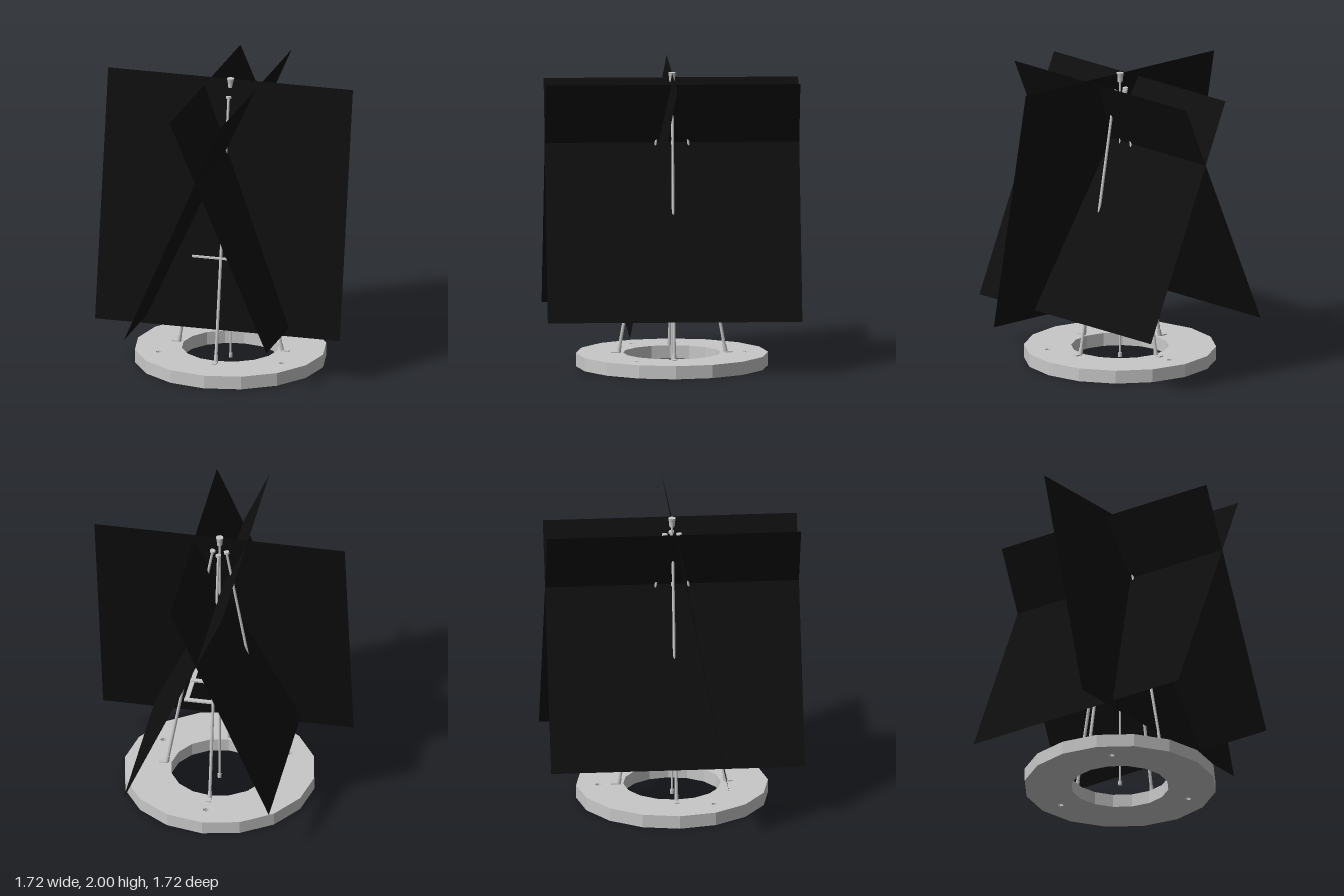
import * as THREE from 'three';

export function createModel() {
  const model = new THREE.Group();
  const metal = new THREE.MeshStandardMaterial({ color: 0xc8c8c8 });
  metal.name = 'pale grey metal';
  const black = new THREE.MeshStandardMaterial({ color: 0x0e0e0e, side: THREE.DoubleSide });
  black.name = 'black sheet';

  const add = (name, geometry, material, parent = model) => {
    const mesh = new THREE.Mesh(geometry, material);
    mesh.name = name;
    parent.add(mesh);
    return mesh;
  };
  const box = (name, w, h, d, x, y, z, parent) =>
    add(name, new THREE.BoxGeometry(w, h, d), metal, parent).position.set(x, y, z);
  const rod = (name, a, b, r0, r1, sides, parent) => {
    const dir = b.clone().sub(a);
    const mesh = add(name, new THREE.CylinderGeometry(r1, r0, dir.length(), sides), metal, parent);
    mesh.position.copy(a).add(b).multiplyScalar(0.5);
    mesh.quaternion.setFromUnitVectors(new THREE.Vector3(0, 1, 0), dir.normalize());
  };
  const v = (x, y, z) => new THREE.Vector3(x, y, z);

  // Sixteen-sided base ring with three bolt holes
  const polygon = (target, radius, sides, cx = 0, cy = 0) => {
    const points = [];
    for (let i = 0; i < sides; i++) {
      const a = (i / sides) * Math.PI * 2;
      points.push(new THREE.Vector2(cx + radius * Math.cos(a), cy + radius * Math.sin(a)));
    }
    return target.setFromPoints(points);
  };
  const ring = polygon(new THREE.Shape(), 0.65, 16);
  ring.holes.push(polygon(new THREE.Path(), 0.33, 16));
  for (const deg of [-30, -150, 90]) {
    const a = THREE.MathUtils.degToRad(deg);
    ring.holes.push(polygon(new THREE.Path(), 0.02, 8, 0.5 * Math.cos(a), 0.5 * Math.sin(a)));
  }
  const ringGeometry = new THREE.ExtrudeGeometry(ring, { depth: 0.09, bevelEnabled: false });
  ringGeometry.rotateX(-Math.PI / 2);
  add('baseRing', ringGeometry, metal);

  // Four leaning legs with sockets, flat feet and top collars
  for (let i = 0; i < 4; i++) {
    const leg = new THREE.Group();
    leg.name = 'leg';
    leg.rotation.y = (i * Math.PI) / 2;
    model.add(leg);
    rod('legTube', v(0.36, 0.1, 0), v(0.047, 1.88, 0), 0.011, 0.009, 8, leg);
    rod('legSocket', v(0.362, 0.09, 0), v(0.353, 0.14, 0), 0.015, 0.013, 8, leg);
    rod('legCollar', v(0.049, 1.87, 0), v(0.047, 1.885, 0), 0.019, 0.019, 8, leg);
    box('foot', 0.055, 0.008, 0.03, 0.385, 0.094, 0, leg);
  }

  // Centre rod and finial
  rod('centreRod', v(0, 0.01, 0), v(0, 1.96, 0), 0.008, 0.008, 8);
  rod('rodTip', v(0, 0.01, 0), v(0, 0.04, 0), 0.013, 0.013, 8);
  rod('finialNeck', v(0, 1.935, 0), v(0, 1.965, 0), 0.018, 0.02, 8);
  rod('finialCap', v(0, 1.965, 0), v(0, 1.998, 0), 0.02, 0.026, 8);

  // Open platform frame with a cross inside
  const platform = new THREE.Group();
  platform.name = 'platformFrame';
  model.add(platform);
  for (const s of [-1, 0, 1]) {
    box('platformCrossBar', 0.4, 0.012, 0.03, 0, 0.79, s * 0.23, platform);
    box('platformSideBar', 0.03, 0.01, 0.46, s * 0.185, 0.782, 0, platform);
  }

  // Three tilted square sheets, each given by its four corners
  const sheet = (name, corners) => {
    const g = new THREE.BufferGeometry();
    g.setAttribute('position', new THREE.Float32BufferAttribute(corners.flat(), 3));
    g.setIndex([0, 1, 2, 0, 2, 3]);
    g.computeVertexNormals();
    add(name, g, black);
  };
  const w = 0.86;
  sheet('frontSheet', [[-w, 0.31, 0.32], [w, 0.31, 0.32], [w, 1.995, 0], [-w, 1.995, 0]]);
  for (const s of [-1, 1]) {
    sheet('crossedSheet', [
      [s * 0.5, 0.365, s * w], [s * 0.5, 0.365, -s * w],
      [-s * 0.18, 1.94, -s * w], [-s * 0.18, 1.94, s * w],
    ]);
  }
  return model;
}
